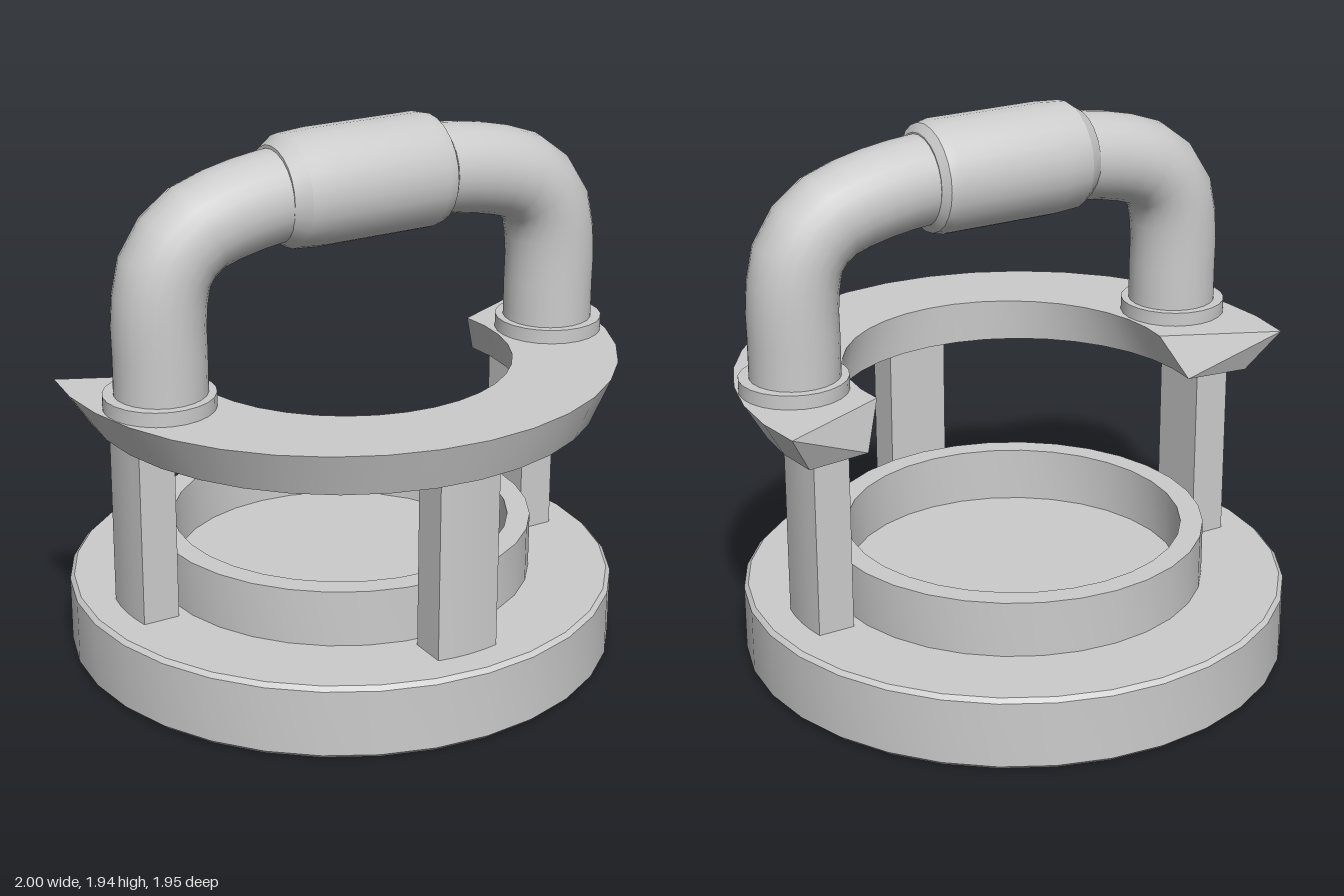
import * as THREE from 'three';
import { toCreasedNormals } from 'three/addons/utils/BufferGeometryUtils.js';

const material = new THREE.MeshStandardMaterial({ color: 0xcccccc });

function addMesh(parent, name, geometry, crease = 0.6) {
  const mesh = new THREE.Mesh(toCreasedNormals(geometry, crease), material);
  mesh.name = name;
  parent.add(mesh);
  return mesh;
}

// Solid of revolution from [radius, height] pairs, listed from bottom to top
function lathe(points, segments = 32) {
  return new THREE.LatheGeometry(points.map(([r, y]) => new THREE.Vector2(r, y)), segments);
}

// Point on an arc that opens to the back, running from the +x end to the -x end
function arcPoint({ centre, radius, endZ, y }, t) {
  const start = Math.asin((endZ - centre) / radius);
  const angle = start + t * (Math.PI - 2 * start);
  return [radius * Math.cos(angle), y, centre + radius * Math.sin(angle)];
}

// Crescent shelf: four edge arcs joined by walls, with a sloping cap on each end
function crescentGeometry(steps = 20) {
  const edges = [
    { centre: -0.05, radius: 1.0, endZ: -0.25, y: 1.07 },
    { centre: 0, radius: 0.9, endZ: -0.17, y: 0.915 },
    { centre: -0.04, radius: 0.66, endZ: -0.144, y: 0.915 },
    { centre: 0.035, radius: 0.583, endZ: -0.065, y: 1.07 },
  ];
  const positions = [];
  const quad = (a, b, c, d) => positions.push(...a, ...b, ...c, ...a, ...c, ...d);
  const section = (i) => edges.map((edge) => arcPoint(edge, i / steps));
  for (let i = 0; i < steps; i++) {
    const here = section(i);
    const next = section(i + 1);
    for (let k = 0; k < 4; k++) {
      const n = (k + 1) % 4;
      quad(here[k], next[k], next[n], here[n]);
    }
  }
  const [a, b, c, d] = section(0);
  quad(a, b, c, d);
  const [e, f, g, h] = section(steps);
  quad(e, h, g, f);
  const geometry = new THREE.BufferGeometry();
  geometry.setAttribute('position', new THREE.Float32BufferAttribute(positions, 3));
  return geometry;
}

// Post with a slightly bowed outer face, standing on the base at the front
function postGeometry() {
  const shape = new THREE.Shape();
  shape.moveTo(-0.115, -0.71);
  shape.lineTo(-0.115, -0.842);
  shape.quadraticCurveTo(0, -0.865, 0.115, -0.842);
  shape.lineTo(0.115, -0.71);
  shape.closePath();
  const geometry = new THREE.ExtrudeGeometry(shape, { depth: 0.67, bevelEnabled: false, curveSegments: 4 });
  return geometry.rotateX(-Math.PI / 2).translate(0, 0.255, 0);
}

export function createModel() {
  const model = new THREE.Group();
  model.name = 'handledStand';

  // Round base with softened rims
  addMesh(model, 'base', lathe([
    [0, 0], [0.96, 0], [0.975, 0.015], [0.975, 0.25], [0.96, 0.265], [0, 0.265],
  ]));

  // Raised ring on the base
  addMesh(model, 'ring', lathe([
    [0.6, 0.26], [0.68, 0.26], [0.68, 0.465], [0.6, 0.465], [0.6, 0.26],
  ]));

  // Three posts: front and both sides
  for (const [name, turn] of [['frontPost', 0], ['leftPost', 1], ['rightPost', -1]]) {
    addMesh(model, name, postGeometry()).rotation.y = turn * Math.PI / 2;
  }

  addMesh(model, 'crescentShelf', crescentGeometry());

  // Bent handle
  const z = 0.153;
  const half = [[0.772, 1.08], [0.772, 1.24], [0.772, 1.4], [0.74, 1.55], [0.645, 1.65], [0.5, 1.7], [0.3, 1.73]];
  const points = [...half, [0, 1.735], ...half.map(([x, y]) => [-x, y]).reverse()];
  const path = new THREE.CatmullRomCurve3(points.map(([x, y]) => new THREE.Vector3(x, y, z)));
  addMesh(model, 'handle', new THREE.TubeGeometry(path, 28, 0.158, 24), 0.8);

  // Thicker grip sleeve around the middle of the handle
  const grip = addMesh(model, 'grip', lathe([
    [0.14, -0.35], [0.16, -0.35], [0.193, -0.3], [0.2, -0.2],
    [0.2, 0.22], [0.19, 0.26], [0.16, 0.282], [0.14, 0.282],
  ], 24), 0.45);
  grip.rotation.z = -Math.PI / 2;
  grip.position.set(0, 1.735, z);

  // Collars where the handle meets the shelf
  for (const side of [1, -1]) {
    const collar = addMesh(model, side > 0 ? 'leftCollar' : 'rightCollar',
      new THREE.CylinderGeometry(0.19, 0.19, 0.055, 24));
    collar.position.set(side * 0.777, 1.0925, z);
  }
  return model;
}
